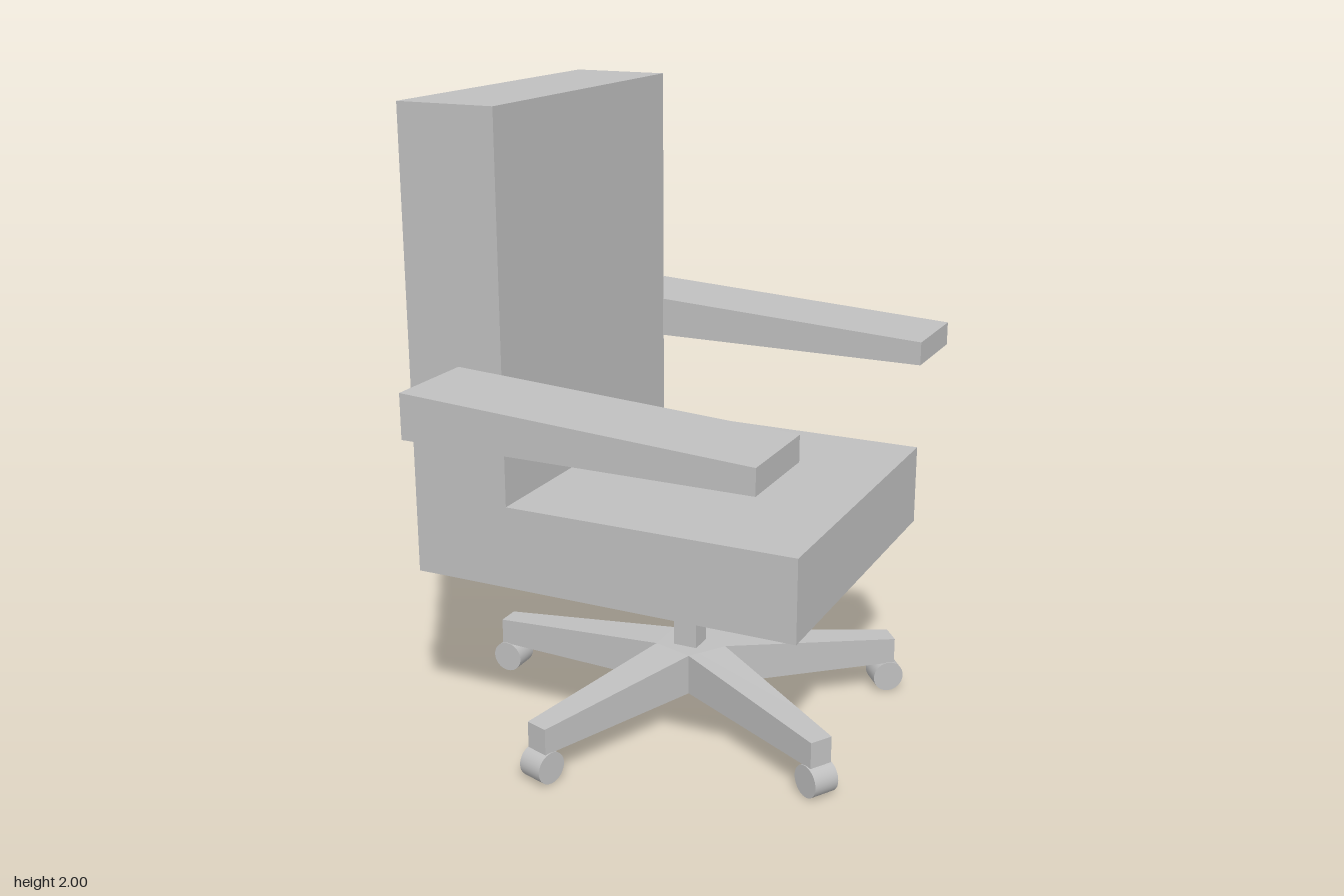
import * as THREE from 'three';

export function createModel() {
  const model = new THREE.Group();
  const grey = new THREE.MeshStandardMaterial({ color: 0xbfbfbf });
  grey.name = 'grey';

  const add = (name, geometry, parent = model) => {
    const mesh = new THREE.Mesh(geometry, grey);
    mesh.name = name;
    parent.add(mesh);
    return mesh;
  };
  const outline = (points) => new THREE.Shape(points.map(([x, y]) => new THREE.Vector2(x, y)));
  // side profile in x and y, extruded from z0 to z1
  const slab = (points, z0, z1) =>
    new THREE.ExtrudeGeometry(outline(points), { depth: z1 - z0, bevelEnabled: false }).translate(0, 0, z0);

  // seat and backrest share one L-shaped profile
  add('seatAndBack', slab([
    [-0.64, 0.56], [0.613, 0.56], [0.613, 0.82], [-0.32, 0.82], [-0.32, 2], [-0.64, 2],
  ], -0.547, 0.527));

  // armrests, thinner at the front
  const arm = [[-0.46, 1.103], [0.613, 1.103], [0.613, 1.18], [-0.46, 1.24]];
  add('leftSideArmrest', slab(arm, 0.537, 0.838));
  add('rightSideArmrest', slab(arm, -0.84, -0.54));

  // square column
  add('column', new THREE.BoxGeometry(0.08, 0.345, 0.078)).position.set(0.04, 0.3975, 0);

  // star base: pentagon hub with five tapering legs
  const base = new THREE.Group();
  base.name = 'base';
  base.position.set(0.042, 0, -0.009);
  model.add(base);

  const bottom = 0.1, hubTop = 0.233, tipTop = 0.185, tipHalf = 0.038;
  const angles = [-108, -38, 31.5, 108, 180].map(THREE.MathUtils.degToRad);
  const lengths = [0.682, 0.69, 0.693, 0.682, 0.702];
  const inner = angles.map((a, i) => {
    const next = i < 4 ? angles[i + 1] : angles[0] + Math.PI * 2;
    const mid = (a + next) / 2;
    return [0.117 * Math.cos(mid), 0.117 * Math.sin(mid)];
  });

  const hub = new THREE.ExtrudeGeometry(outline(inner.map(([x, z]) => [x, -z])),
    { depth: hubTop - bottom, bevelEnabled: false });
  add('hub', hub.rotateX(-Math.PI / 2).translate(0, bottom, 0), base);

  angles.forEach((a, i) => {
    const c = Math.cos(a), s = Math.sin(a), length = lengths[i];
    const leg = new THREE.BoxGeometry(1, 1, 1);
    const p = leg.attributes.position;
    for (let k = 0; k < p.count; k++) {
      const up = p.getY(k) > 0, side = Math.sign(p.getZ(k));
      if (p.getX(k) > 0) {
        const w = side * tipHalf;
        p.setXYZ(k, c * length - s * w, up ? tipTop : bottom, s * length + c * w);
      } else {
        const [x, z] = inner[side > 0 ? i : (i + 4) % 5];
        p.setXYZ(k, x, up ? hubTop : bottom, z);
      }
    }
    leg.computeVertexNormals();
    add('leg', leg, base);

    // caster wheel, rolling in the direction of its leg
    const wheel = new THREE.CylinderGeometry(0.051, 0.051, 0.085, 32).rotateX(Math.PI / 2);
    const caster = add('caster', wheel, base);
    const r = length - 0.019;
    caster.position.set(c * r, 0.051, s * r);
    caster.rotation.y = -a;
  });

  return model;
}
